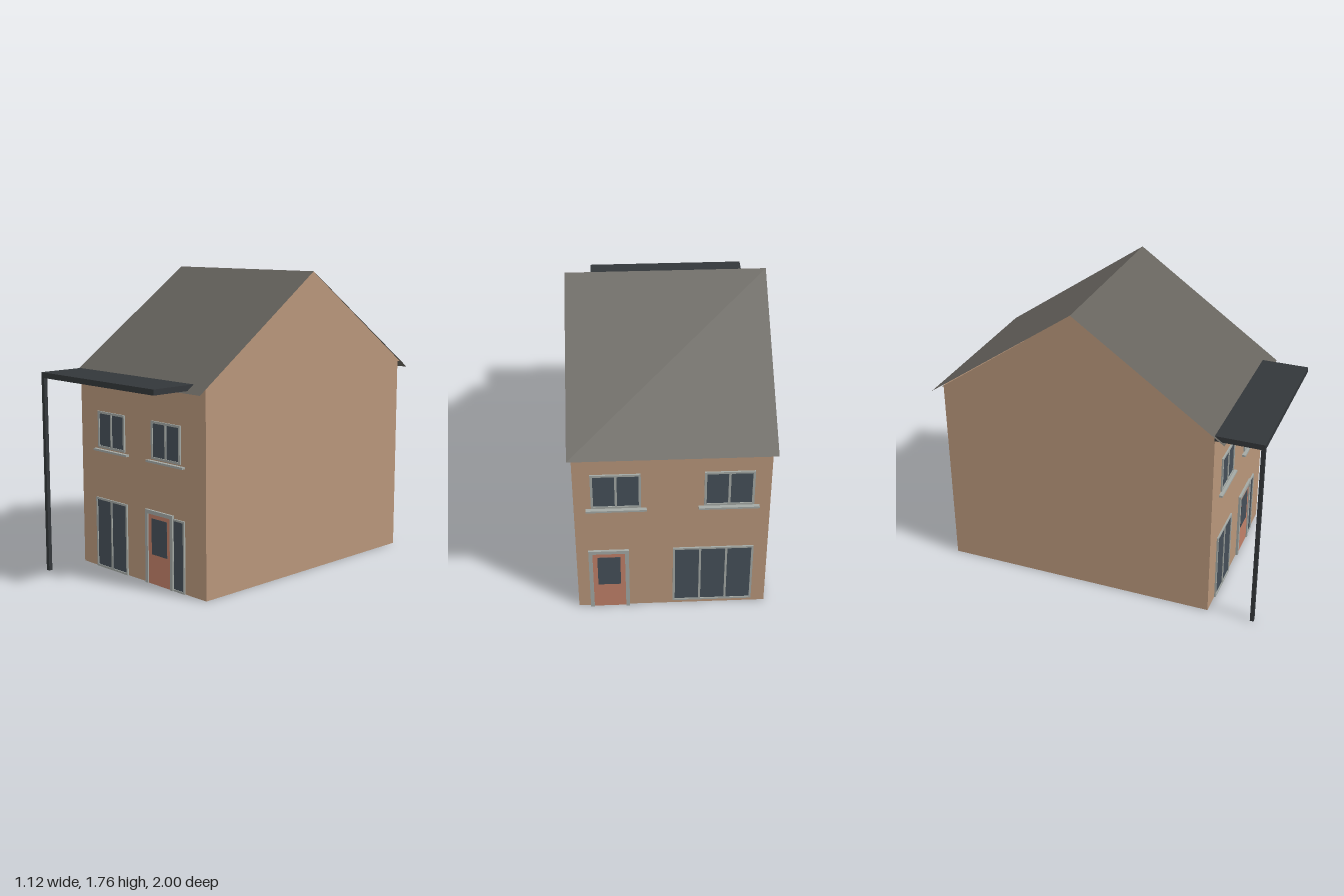
import * as THREE from 'three';

const mat = (color, side = THREE.FrontSide) =>
  new THREE.MeshStandardMaterial({ color, side, flatShading: true });
const brick = mat(0xb8967a, THREE.DoubleSide);
const tile = mat(0x66635d, THREE.DoubleSide);
const dark = mat(0x33373a);
const frameGrey = mat(0xa3a8a4);
const glassMat = mat(0x454f58);
const doorRed = mat(0xc08068);

const W = 0.54, ROOF_W = 0.56, FRONT = 0.72, BACK = -0.93;
const WALL_TOP = 1.18, RIDGE = 1.76, RIDGE_Z = -0.105, EAVE = 1.138;

function add(parent, name, geometry, material) {
  const mesh = new THREE.Mesh(geometry, material);
  mesh.name = name;
  parent.add(mesh);
  return mesh;
}

// Box given by its lower and upper limits on each axis
function box(parent, name, material, [x0, x1], [y0, y1], [z0, z1]) {
  const mesh = add(parent, name, new THREE.BoxGeometry(x1 - x0, y1 - y0, z1 - z0), material);
  mesh.position.set((x0 + x1) / 2, (y0 + y1) / 2, (z0 + z1) / 2);
  return mesh;
}

// Flat polygon from corners in order, as a triangle fan
function polygon(parent, name, material, corners) {
  const g = new THREE.BufferGeometry().setFromPoints(corners.map((c) => new THREE.Vector3(...c)));
  const index = [];
  for (let i = 1; i < corners.length - 1; i++) index.push(0, i, i + 1);
  g.setIndex(index);
  g.computeVertexNormals();
  return add(parent, name, g, material);
}

function rect(target, x0, x1, y0, y1) {
  target.moveTo(x0, y0);
  target.lineTo(x1, y0);
  target.lineTo(x1, y1);
  target.lineTo(x0, y1);
  target.closePath();
  return target;
}

// Frame with a row of panes, built against the local plane z = 0
function addWindow(parent, name, [x0, x1], [y0, y1], panes, border, sillY) {
  const group = new THREE.Group();
  group.name = name;
  const shape = rect(new THREE.Shape(), x0, x1, y0, y1);
  const paneW = (x1 - x0 - border * (panes + 1)) / panes;
  for (let i = 0; i < panes; i++) {
    const a = x0 + border + i * (paneW + border);
    shape.holes.push(rect(new THREE.Path(), a, a + paneW, y0 + border, y1 - border));
  }
  add(group, 'windowFrame',
    new THREE.ExtrudeGeometry(shape, { depth: 0.009, bevelEnabled: false }), frameGrey);
  box(group, 'windowGlass', glassMat,
    [x0 + border / 2, x1 - border / 2], [y0 + border / 2, y1 - border / 2], [0.001, 0.004]);
  if (sillY) {
    box(group, 'windowSill', frameGrey, [x0 - 0.03, x1 + 0.03], [sillY - 0.012, sillY], [0, 0.022]);
  }
  parent.add(group);
}

// Door with an open-bottomed surround and a glazed upper panel
function addDoor(parent, name, x0, width, height) {
  const group = new THREE.Group();
  group.name = name;
  const x1 = x0 + width, b = 0.022;
  box(group, 'doorPostA', frameGrey, [x0, x0 + b], [0, height], [0, 0.014]);
  box(group, 'doorPostB', frameGrey, [x1 - b, x1], [0, height], [0, 0.014]);
  box(group, 'doorLintel', frameGrey, [x0 + b, x1 - b], [height - b, height], [0, 0.014]);
  box(group, 'doorLeaf', doorRed, [x0 + b, x1 - b], [0, height - b], [0, 0.007]);
  const mid = (x0 + x1) / 2;
  box(group, 'doorGlass', glassMat, [mid - 0.065, mid + 0.065], [0.175, 0.385], [0.005, 0.009]);
  parent.add(group);
}

export function createModel() {
  const house = new THREE.Group();
  house.name = 'house';

  // Walls: a shell without floor or ceiling
  for (const [name, z, flip] of [['frontWall', FRONT, 0], ['backWall', BACK, Math.PI]]) {
    const wall = add(house, name, new THREE.PlaneGeometry(2 * W, WALL_TOP), brick);
    wall.position.set(0, WALL_TOP / 2, z);
    wall.rotation.y = flip;
  }
  for (const s of [1, -1]) {
    const side = s > 0 ? 'left' : 'right';
    const wall = add(house, side + 'Wall', new THREE.PlaneGeometry(FRONT - BACK, WALL_TOP), brick);
    wall.position.set(s * W, WALL_TOP / 2, (FRONT + BACK) / 2);
    wall.rotation.y = s * Math.PI / 2;

    // Gable, slightly proud of the wall, with a narrow soffit below
    const x = s * (ROOF_W - 0.002);
    const gable = [[x, WALL_TOP, FRONT], [x, WALL_TOP, BACK], [x, RIDGE - 0.001, RIDGE_Z]];
    polygon(house, side + 'Gable', brick, s > 0 ? gable : gable.reverse());
    const soffit = [[s * W, WALL_TOP, FRONT], [s * W, WALL_TOP, BACK], [x, WALL_TOP, BACK], [x, WALL_TOP, FRONT]];
    polygon(house, side + 'Soffit', tile, s > 0 ? soffit : soffit.reverse());
  }

  // Thin roof slopes
  polygon(house, 'frontRoof', tile, [
    [-ROOF_W, EAVE, 0.78], [ROOF_W, EAVE, 0.78], [ROOF_W, RIDGE, RIDGE_Z], [-ROOF_W, RIDGE, RIDGE_Z]]);
  polygon(house, 'backRoof', tile, [
    [ROOF_W, EAVE, -1.0], [-ROOF_W, EAVE, -1.0], [-ROOF_W, RIDGE, RIDGE_Z], [ROOF_W, RIDGE, RIDGE_Z]]);

  // Front canopy on a single post
  box(house, 'canopy', dark, [-0.545, 0.445], [1.15, 1.182], [FRONT, 1]);
  box(house, 'canopyPost', dark, [-0.545, -0.52], [0, 1.15], [0.978, 1]);

  // Front openings
  const front = new THREE.Group();
  front.name = 'frontOpenings';
  front.position.z = FRONT;
  addWindow(front, 'upperWindowRight', [-0.377, -0.135], [0.728, 0.945], 2, 0.013, 0.72);
  addWindow(front, 'upperWindowLeft', [0.1, 0.342], [0.728, 0.945], 2, 0.013, 0.72);
  addWindow(front, 'tallWindow', [-0.407, -0.122], [0, 0.424], 2, 0.012);
  addWindow(front, 'doorSideWindow', [0.27, 0.372], [0, 0.415], 1, 0.011);
  addDoor(front, 'frontDoor', 0.047, 0.233, 0.432);
  house.add(front);

  // Back openings, laid out in a frame turned to face -z
  const back = new THREE.Group();
  back.name = 'backOpenings';
  back.position.z = BACK;
  back.rotation.y = Math.PI;
  addWindow(back, 'backWindowLeft', [-0.445, -0.17], [0.755, 0.99], 2, 0.013, 0.748);
  addWindow(back, 'backWindowRight', [0.175, 0.45], [0.755, 0.99], 2, 0.013, 0.748);
  addWindow(back, 'wideBackWindow', [0.005, 0.462], [0.025, 0.44], 3, 0.012);
  addDoor(back, 'backDoor', -0.472, 0.228, 0.438);
  house.add(back);

  return house;
}
